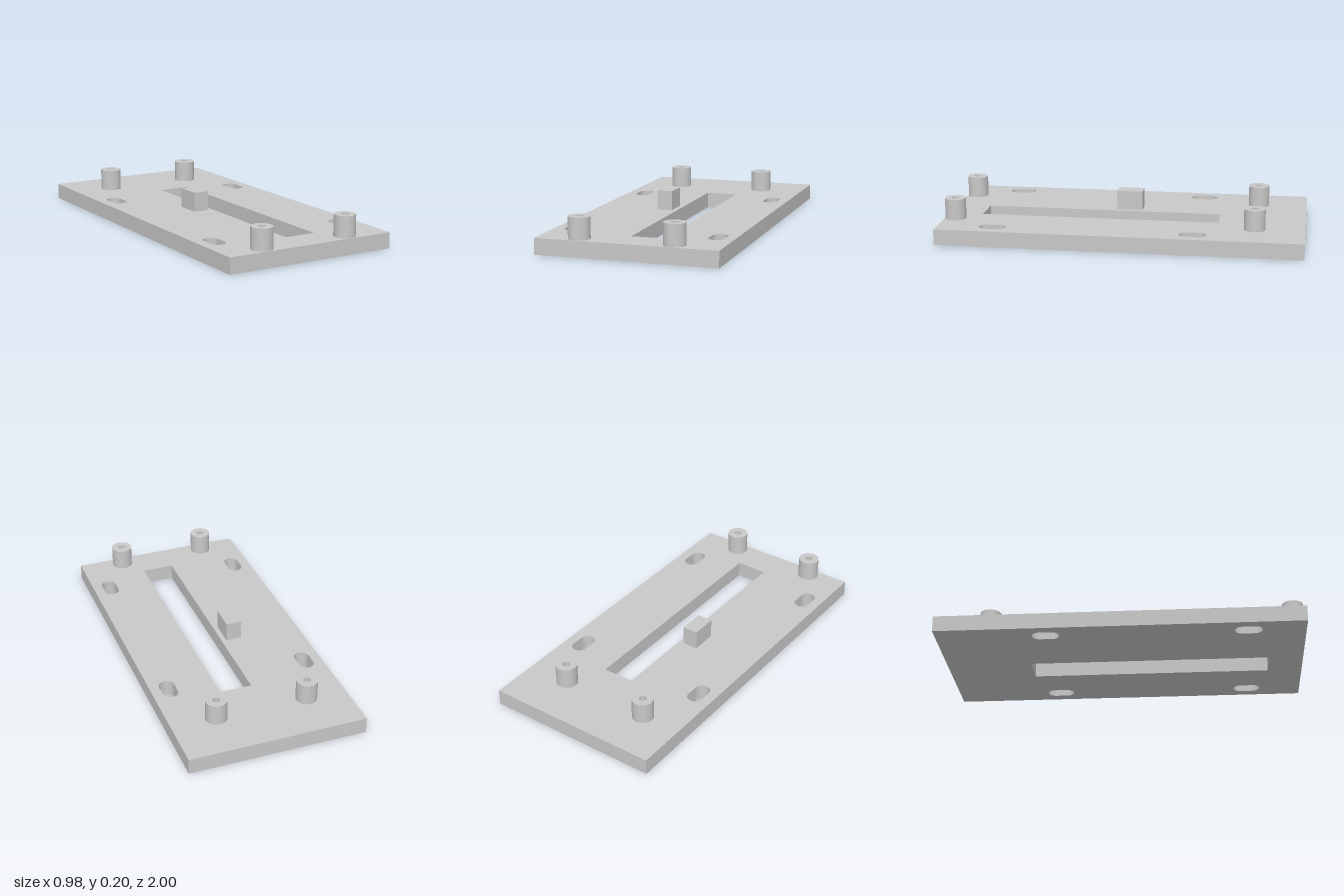
import * as THREE from 'three';

const BASE = 0.088; // plate thickness

// Slot outline running along z, drawn in shape space (shape y = -z)
function slotPath(x, z, radius, halfLength) {
  const h = halfLength - radius;
  const path = new THREE.Path();
  path.absarc(x, -z + h, radius, 0, Math.PI, false);
  path.absarc(x, -z - h, radius, Math.PI, Math.PI * 2, false);
  path.closePath();
  return path;
}

// Counter-clockwise rectangle in shape space
function rectangle(PathType, x0, x1, z0, z1) {
  return new PathType([[x0, z1], [x1, z1], [x1, z0], [x0, z0]]
    .map(([x, z]) => new THREE.Vector2(x, -z)));
}

export function createModel() {
  const group = new THREE.Group();
  const grey = new THREE.MeshStandardMaterial({ color: 0xc8c8c8 });
  grey.name = 'grey';

  const add = (name, geometry, x = 0, y = 0, z = 0) => {
    const mesh = new THREE.Mesh(geometry, grey);
    mesh.name = name;
    mesh.position.set(x, y, z);
    group.add(mesh);
  };

  // Base plate with a long window and four mounting slots
  const outline = rectangle(THREE.Shape, -0.491, 0.491, -1, 1);
  outline.holes.push(rectangle(THREE.Path, -0.034, 0.143, -0.522, 0.809));
  for (const x of [-0.394, 0.394]) {
    for (const z of [-0.401, 0.692]) outline.holes.push(slotPath(x, z, 0.042, 0.075));
  }
  const plate = new THREE.ExtrudeGeometry(outline, { depth: BASE, bevelEnabled: false, curveSegments: 24 });
  plate.rotateX(-Math.PI / 2);
  add('basePlate', plate);

  // Hollow standoffs; each straight run is a separate lathe so the rims stay sharp
  const R = 0.058, r = 0.02, H = 0.117;
  const lathe = (...points) =>
    new THREE.LatheGeometry(points.map(([x, y]) => new THREE.Vector2(x, y)), 48);
  const wall = lathe([R, 0], [R, H]);
  const rim = lathe([R, H], [r, H]);
  const bore = lathe([r, H], [r, 0]);
  for (const x of [-0.267, 0.243]) {
    for (const z of [-0.726, 0.939]) {
      add('standoffWall', wall, x, BASE, z);
      add('standoffRim', rim, x, BASE, z);
      add('standoffBore', bore, x, BASE, z);
    }
  }

  // Small support block beside the window
  add('supportBlock', new THREE.BoxGeometry(0.088, 0.108, 0.146), -0.106, BASE + 0.054, 0);

  return group;
}
